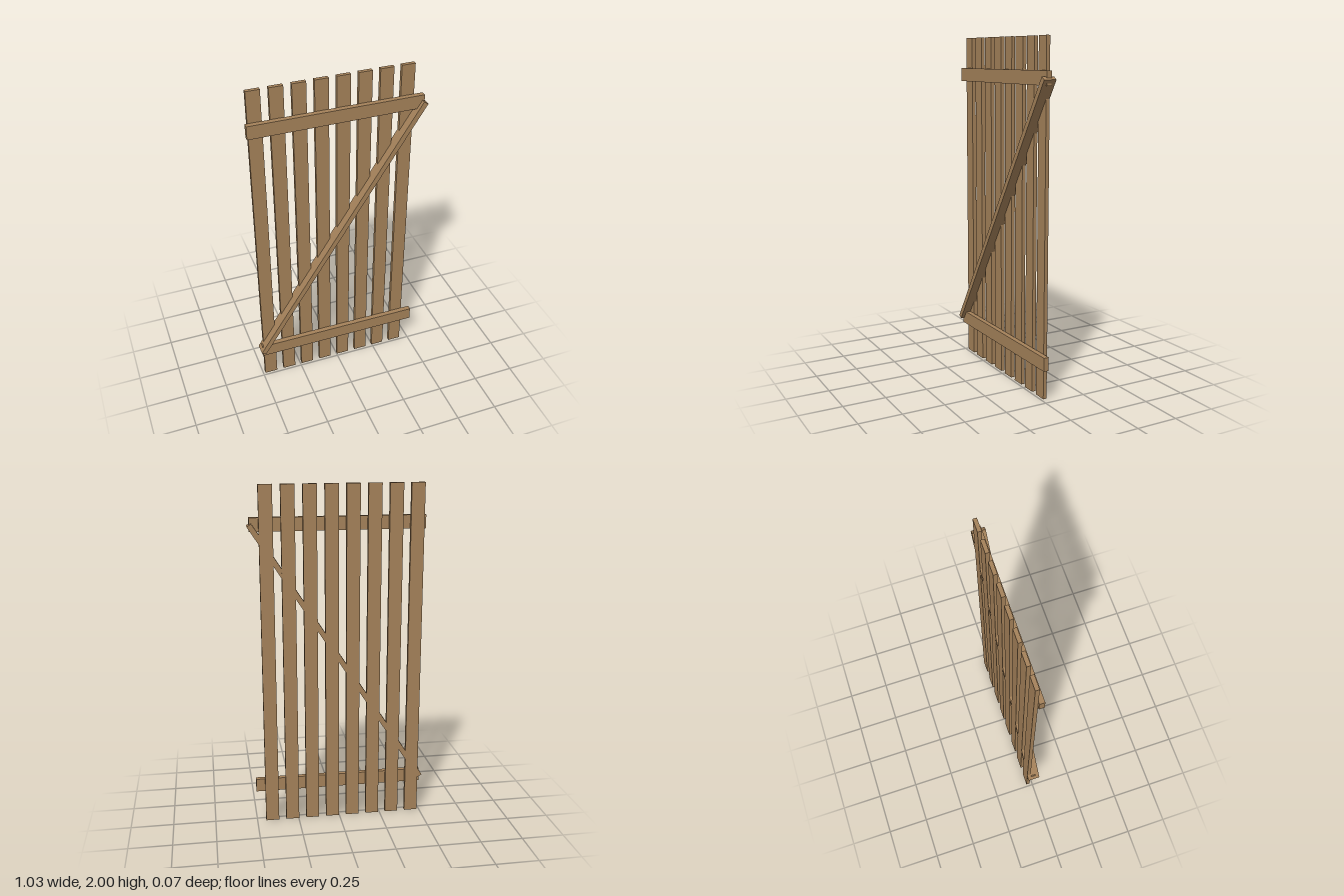
import * as THREE from 'three';

export function createModel() {
  const gate = new THREE.Group();
  gate.name = 'plankGate';
  const wood = new THREE.MeshStandardMaterial({ color: 0xa5825a });
  wood.name = 'wood';

  const board = (name, size, position, angle = 0) => {
    const mesh = new THREE.Mesh(new THREE.BoxGeometry(...size), wood);
    mesh.name = name;
    mesh.position.set(...position);
    mesh.rotation.z = angle;
    gate.add(mesh);
  };

  // Eight upright planks along the back
  for (let i = 0; i < 8; i++) {
    board(`plank${i + 1}`, [0.078, 2, 0.022], [-0.447 + i * 0.1222, 1, -0.0265]);
  }

  // Cross rails in front of the planks
  board('lowerRail', [1, 0.078, 0.03], [0, 0.225, -0.001]);
  board('upperRail', [1, 0.078, 0.03], [0, 1.78, -0.001]);

  // Diagonal brace, deep enough to pass through rails and planks
  board('brace', [1.849, 0.03, 0.0745], [0, 1.0025, 0], Math.atan2(1.555, 1));

  return gate;
}
